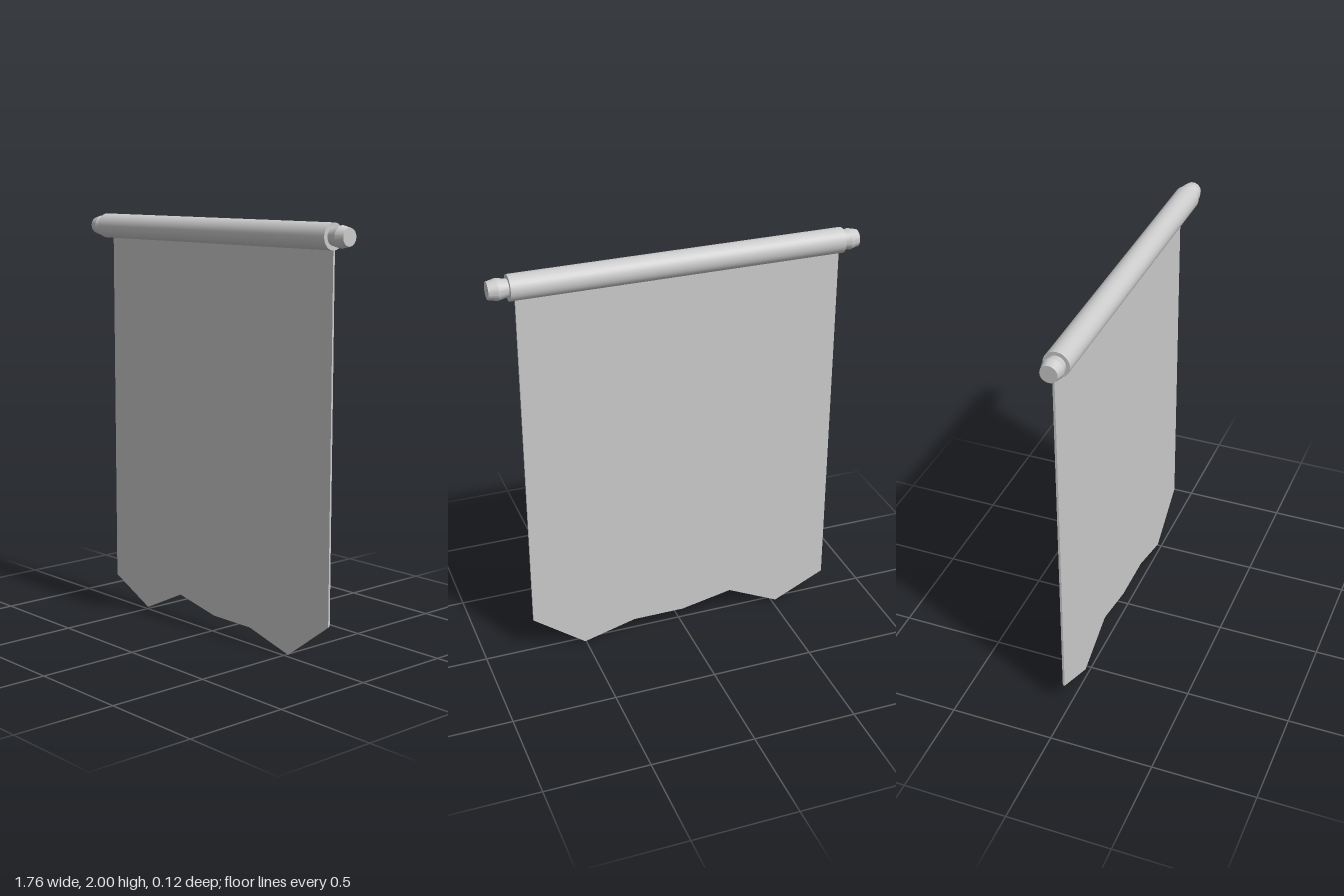
import * as THREE from 'three';
import { toCreasedNormals } from 'three/addons/utils/BufferGeometryUtils.js';

const ROD_Y = 1.94;

// Solid turned around the x axis from [radius, x] pairs, with x ascending
function turned(name, profile, material) {
  const points = profile.map(([r, x]) => new THREE.Vector2(r, x));
  const geometry = new THREE.LatheGeometry(points, 32).rotateZ(-Math.PI / 2);
  const mesh = new THREE.Mesh(toCreasedNormals(geometry, 0.35), material);
  mesh.name = name;
  mesh.position.y = ROD_Y;
  return mesh;
}

export function createModel() {
  const group = new THREE.Group();
  group.name = 'hangingBanner';
  const material = new THREE.MeshStandardMaterial({ color: 0xcccccc });

  // Rod
  group.add(turned('rod', [[0, -0.8], [0.06, -0.8], [0.06, 0.785], [0, 0.785]], material));

  // Bulged knobs at both ends, mirrored by a half turn
  for (const side of [-1, 1]) {
    const knob = turned(side > 0 ? 'leftKnob' : 'rightKnob',
      [[0, 0.76], [0.04, 0.76], [0.04, 0.785], [0.05, 0.835], [0.04, 0.878], [0, 0.878]], material);
    if (side < 0) knob.rotation.y = Math.PI;
    group.add(knob);
  }

  // Thin cloth with a ragged lower edge, its top tucked into the rod
  const outline = [
    [-0.776, ROD_Y], [-0.776, 0.125], [-0.522, 0.003], [-0.265, 0.125], [-0.01, 0.073],
    [0.245, 0.073], [0.505, 0.003], [0.762, 0.195], [0.762, ROD_Y],
  ].map(([x, y]) => new THREE.Vector2(x, y));
  const thickness = 0.01;
  const cloth = new THREE.Mesh(
    new THREE.ExtrudeGeometry(new THREE.Shape(outline), { depth: thickness, bevelEnabled: false }), material);
  cloth.name = 'cloth';
  cloth.position.z = -0.026 - thickness / 2;
  group.add(cloth);

  return group;
}
